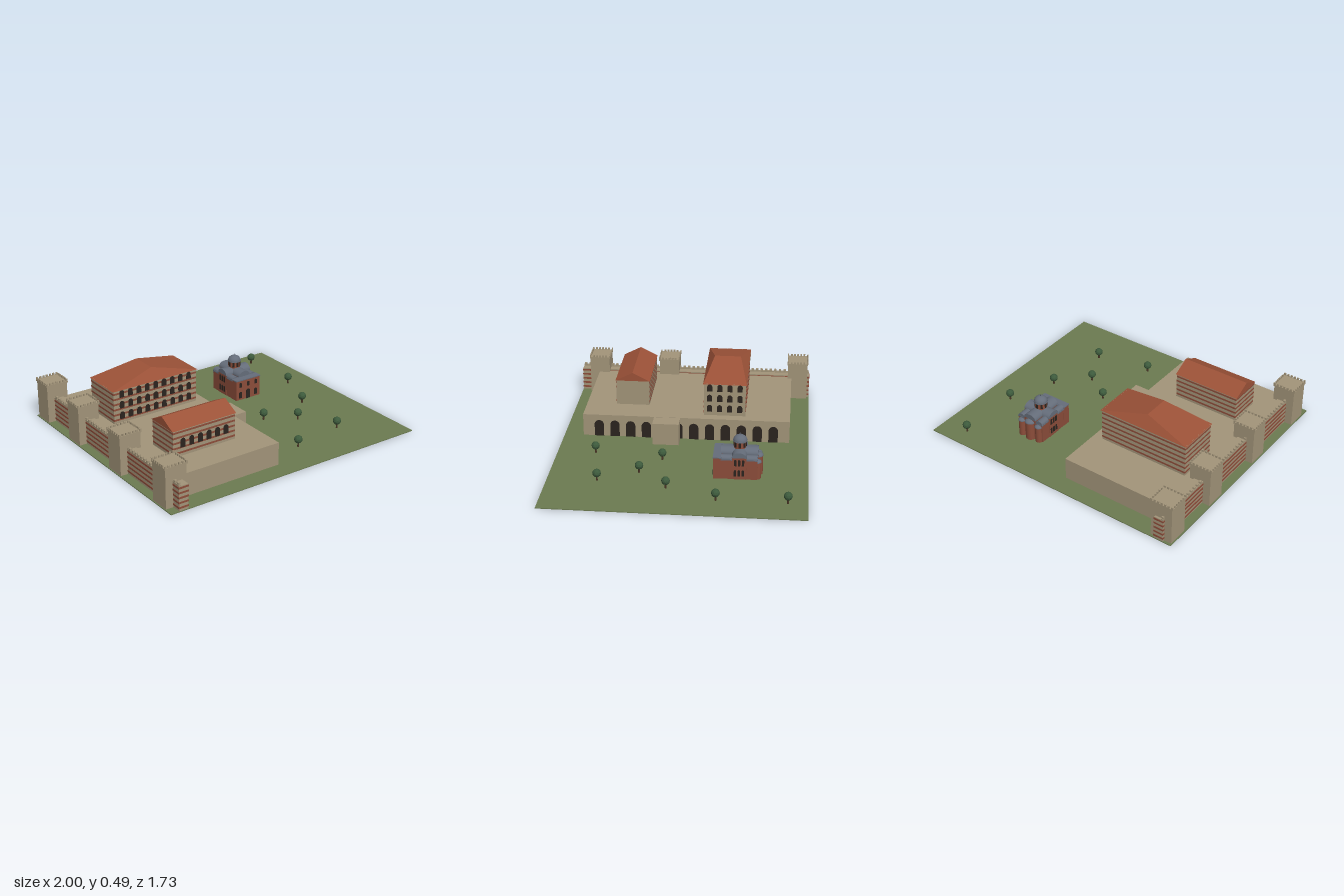
import * as THREE from 'three';
import { ConvexGeometry } from 'three/addons/geometries/ConvexGeometry.js';

const mat = (color, flatShading = false) =>
  new THREE.MeshStandardMaterial({ color, flatShading, roughness: 0.9 });
const stone = mat(0xa29479), brick = mat(0x8c4d3a), tile = mat(0x9c5238, true), lead = mat(0x656d7a),
  dark = mat(0x2b241f), grass = mat(0x6b7a50), leaf = mat(0x3d5a3c, true), bark = mat(0x4a3626);

function add(parent, name, geometry, material, x = 0, y = 0, z = 0) {
  const mesh = new THREE.Mesh(geometry, material);
  mesh.name = name;
  mesh.position.set(x, y, z);
  parent.add(mesh);
  return mesh;
}

function group(parent, name, x = 0, y = 0, z = 0) {
  const g = new THREE.Group();
  g.name = name;
  g.position.set(x, y, z);
  parent.add(g);
  return g;
}

// box given by its extents
function block(parent, name, material, x0, x1, y0, y1, z0, z1) {
  return add(parent, name, new THREE.BoxGeometry(x1 - x0, y1 - y0, z1 - z0), material,
    (x0 + x1) / 2, (y0 + y1) / 2, (z0 + z1) / 2);
}

// round-headed opening, a thin dark panel on a wall that faces angle `turn`
function arch(parent, name, w, h, x, y, z, turn = 0) {
  const s = new THREE.Shape();
  s.moveTo(-w / 2, 0);
  s.lineTo(w / 2, 0);
  s.lineTo(w / 2, h - w / 2);
  s.absarc(0, h - w / 2, w / 2, 0, Math.PI, false);
  s.closePath();
  const geo = new THREE.ExtrudeGeometry(s, { depth: 0.006, bevelEnabled: false, curveSegments: 8 });
  geo.translate(0, 0, -0.003);
  add(parent, name, geo, dark, x, y, z).rotation.y = turn;
}

const hull = points => new ConvexGeometry(points.map(p => new THREE.Vector3(...p)));

// half-barrel roof along x or z
function vault(parent, x, y, z, r, length, alongX, rise = 1) {
  const geo = new THREE.CylinderGeometry(r, r, length, 20, 1, false, Math.PI / 2, Math.PI);
  geo.rotateX(Math.PI / 2);
  geo.scale(1, rise, 1);
  if (alongX) geo.rotateY(Math.PI / 2);
  const m = lead.clone();
  m.side = THREE.DoubleSide;
  add(parent, 'barrelVault', geo, m, x, y, z);
}

function buildTower(parent, z) {
  const t = group(parent, 'tower', -0.915, 0, z), r = 0.08, n = 7;
  block(t, 'towerBody', stone, -r + 0.002, r - 0.002, 0, 0.285, -0.073, 0.073);
  block(t, 'towerRim', stone, -r - 0.004, r + 0.004, 0.277, 0.288, -0.077, 0.077);
  for (let i = 0; i < n; i++) {
    const a = (i / (n - 1) - 0.5) * 2;
    for (const s of [-1, 1]) {
      add(t, 'merlon', new THREE.BoxGeometry(0.014, 0.016, 0.008), stone, a * 0.077, 0.295, s * 0.073);
      if (i > 0 && i < n - 1)
        add(t, 'merlon', new THREE.BoxGeometry(0.008, 0.016, 0.014), stone, s * 0.08, 0.295, a * 0.07);
    }
  }
}

function buildWall(parent) {
  const w = group(parent, 'cityWall');
  block(w, 'wallCore', stone, -0.938, -0.87, 0, 0.178, -0.863, 0.863);
  block(w, 'parapet', stone, -0.94, -0.922, 0.178, 0.186, -0.863, 0.863);
  for (let i = 0; i < 5; i++) {
    const y = 0.022 + i * 0.034;
    block(w, 'brickBand', brick, -0.941, -0.868, y, y + 0.013, -0.865, 0.865);
  }
  for (let i = 0; i < 50; i++)
    add(w, 'merlon', new THREE.BoxGeometry(0.016, 0.016, 0.018), stone, -0.931, 0.192, -0.85 + i * 1.7 / 49);
  for (const z of [-0.775, -0.338, 0.195, 0.725]) buildTower(parent, z);
}

function buildTerrace(parent) {
  const t = group(parent, 'terrace');
  block(t, 'platform', stone, -0.875, -0.07, 0, 0.167, -0.73, 0.73);
  block(t, 'gatehouse', stone, -0.07, 0.038, 0, 0.165, 0.04, 0.225);
  for (let i = 0; i < 12; i++)
    arch(t, 'arcadeOpening', 0.066, 0.12, -0.07, 0.006, (i - 5.5) * 0.112, Math.PI / 2);
}

// brick bands on the long sides of a building
function bands(parent, count, x0, x1, y0, step, z0, z1) {
  for (let i = 0; i < count; i++) {
    const y = y0 + i * step;
    block(parent, 'brickBand', brick, x0, x1, y, y + 0.013, z0 - 0.0015, z1 + 0.0015);
  }
}

function buildPalace(parent) {
  const p = group(parent, 'palace');
  block(p, 'palaceWalls', stone, -0.8, -0.138, 0.16, 0.407, -0.415, -0.122);
  bands(p, 6, -0.8015, -0.1385, 0.186, 0.038, -0.415, -0.122);
  for (let row = 0; row < 3; row++) {
    const y = 0.194 + row * 0.078;
    for (let i = 0; i < 9; i++) arch(p, 'palaceWindow', 0.036, 0.052, -0.469 + (i - 4) * 0.067, y, -0.122);
    for (let i = 0; i < 4; i++)
      arch(p, 'palaceWindow', 0.036, 0.052, -0.138, y, -0.2685 + (i - 1.5) * 0.071, Math.PI / 2);
  }
  add(p, 'palaceRoof', hull([
    [-0.808, 0.405, -0.422], [-0.13, 0.405, -0.422], [-0.808, 0.405, -0.115], [-0.13, 0.405, -0.115],
    [-0.469, 0.485, -0.362], [-0.469, 0.485, -0.175]]), tile);
}

function buildHall(parent) {
  const h = group(parent, 'hall');
  block(h, 'hallWalls', stone, -0.75, -0.268, 0.16, 0.353, 0.28, 0.517);
  bands(h, 5, -0.7515, -0.2685, 0.186, 0.036, 0.28, 0.517);
  for (let i = 0; i < 6; i++) arch(h, 'hallWindow', 0.036, 0.065, -0.509 + (i - 2.5) * 0.067, 0.226, 0.517);
  const pts = [];
  for (const x of [-0.756, -0.262]) pts.push([x, 0.352, 0.275], [x, 0.352, 0.522], [x, 0.415, 0.3985]);
  add(h, 'hallRoof', hull(pts), tile);
}

function buildChurch(parent) {
  const c = group(parent, 'church', 0.397, 0, -0.405);
  // body: low corner bays with a taller cross through them
  block(c, 'churchBody', brick, -0.104, 0.104, 0, 0.145, -0.12, 0.12);
  block(c, 'crossArm', brick, -0.107, 0.107, 0, 0.165, -0.048, 0.048);
  block(c, 'crossArm', brick, -0.048, 0.048, 0, 0.165, -0.123, 0.123);
  vault(c, 0, 0.163, 0, 0.05, 0.218, true, 0.75);
  vault(c, 0, 0.163, 0, 0.05, 0.25, false, 0.75);
  for (const x of [-0.077, 0.077])
    for (const z of [-0.085, 0.085]) {
      block(c, 'bayCornice', lead, x - 0.03, x + 0.03, 0.143, 0.15, z - 0.037, z + 0.037);
      vault(c, x, 0.15, z, 0.028, 0.072, false, 0.8);
    }
  // entrance hall
  block(c, 'entranceHall', brick, -0.106, 0.106, 0, 0.155, 0.115, 0.172);
  block(c, 'entranceRoof', lead, -0.109, 0.109, 0.155, 0.162, 0.115, 0.175);
  arch(c, 'door', 0.036, 0.075, 0, 0.005, 0.172);
  for (const x of [-0.068, 0.068]) arch(c, 'window', 0.026, 0.05, x, 0.02, 0.172);
  for (const x of [-0.068, 0, 0.068]) arch(c, 'window', 0.022, 0.035, x, 0.105, 0.172);
  for (const s of [-1, 1])
    for (const z of [-0.026, 0, 0.026])
      for (const y of [0.03, 0.105]) arch(c, 'window', 0.016, 0.045, s * 0.107, y, z, Math.PI / 2);
  // three rounded apses at the back
  for (const [x, r, h] of [[-0.072, 0.026, 0.125], [0, 0.036, 0.14], [0.072, 0.026, 0.125]]) {
    add(c, 'apse', new THREE.CylinderGeometry(r, r, h, 16), brick, x, h / 2, -0.119);
    add(c, 'apseRoof', new THREE.SphereGeometry(r + 0.003, 16, 6, 0, Math.PI * 2, 0, Math.PI / 2), lead,
      x, h, -0.119).scale.y = 0.6;
  }
  // drum and dome
  add(c, 'drum', new THREE.CylinderGeometry(0.042, 0.042, 0.065, 16), brick, 0, 0.215, 0);
  for (let i = 0; i < 8; i++) {
    const a = i * Math.PI / 4;
    arch(c, 'drumWindow', 0.016, 0.036, Math.sin(a) * 0.041, 0.205, Math.cos(a) * 0.041, a);
  }
  add(c, 'domeRim', new THREE.CylinderGeometry(0.049, 0.049, 0.006, 20), lead, 0, 0.245, 0);
  add(c, 'dome', new THREE.SphereGeometry(0.047, 20, 8, 0, Math.PI * 2, 0, Math.PI / 2), lead,
    0, 0.246, 0).scale.y = 0.85;
  add(c, 'finial', new THREE.CylinderGeometry(0.002, 0.002, 0.016, 6), lead, 0, 0.29, 0);
}

function buildTrees(parent) {
  const spots = [[0.8, -0.735], [0.8, -0.27], [0.665, 0.065], [0.265, 0.13], [0.465, 0.265], [0.6, 0.53], [0.2, 0.6]];
  for (const [x, z] of spots) {
    const t = group(parent, 'tree', x, 0, z);
    add(t, 'trunk', new THREE.CylinderGeometry(0.005, 0.007, 0.05, 6), bark, 0, 0.025, 0);
    add(t, 'crown', new THREE.IcosahedronGeometry(0.029, 1), leaf, 0, 0.06, 0);
  }
}

export function createModel() {
  const model = new THREE.Group();
  model.name = 'palaceQuarter';
  block(model, 'ground', grass, -1, 1, 0, 0.006, -0.865, 0.865);
  buildWall(model);
  buildTerrace(model);
  buildPalace(model);
  buildHall(model);
  buildChurch(model);
  buildTrees(model);
  return model;
}
